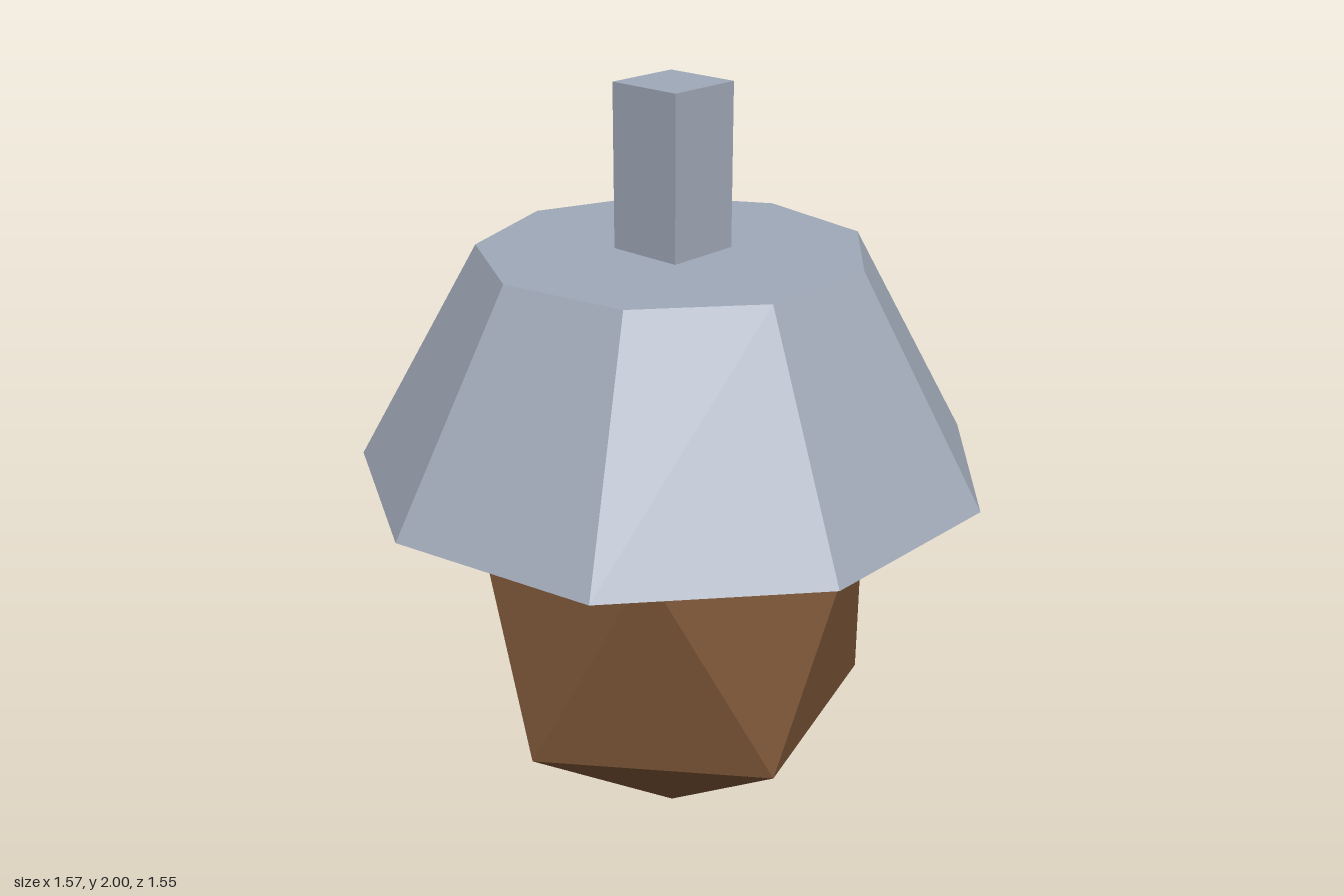
import * as THREE from 'three';

export function createModel() {
  const brown = new THREE.MeshStandardMaterial({ color: 0x7d5638, flatShading: true });
  brown.name = 'nut brown';
  const grey = new THREE.MeshStandardMaterial({ color: 0xa0a9b8, flatShading: true });
  grey.name = 'cap grey';

  const group = new THREE.Group();
  group.name = 'acorn';
  const add = (name, geometry, material, y) => {
    const mesh = new THREE.Mesh(geometry, material);
    mesh.name = name;
    mesh.position.set(0, y, 0.02);
    group.add(mesh);
  };

  // Nut: an icosahedron stood on one vertex and stretched upwards
  const radius = 0.576, halfHeight = 0.68;
  const nut = new THREE.IcosahedronGeometry(radius, 0);
  nut.rotateZ(-Math.atan(2 / (1 + Math.sqrt(5))));
  nut.scale(1, halfHeight / radius, 1);
  add('nut', nut, brown, halfHeight);

  // Cap: nine-sided closed frustum with a corner at the back
  const cap = new THREE.CylinderGeometry(0.482, 0.798, 0.56, 9);
  cap.rotateY(Math.PI);
  add('cap', cap, grey, 1.32);

  // Stem: square post on the cap
  add('stem', new THREE.BoxGeometry(0.2, 0.4, 0.2), grey, 1.8);

  return group;
}
